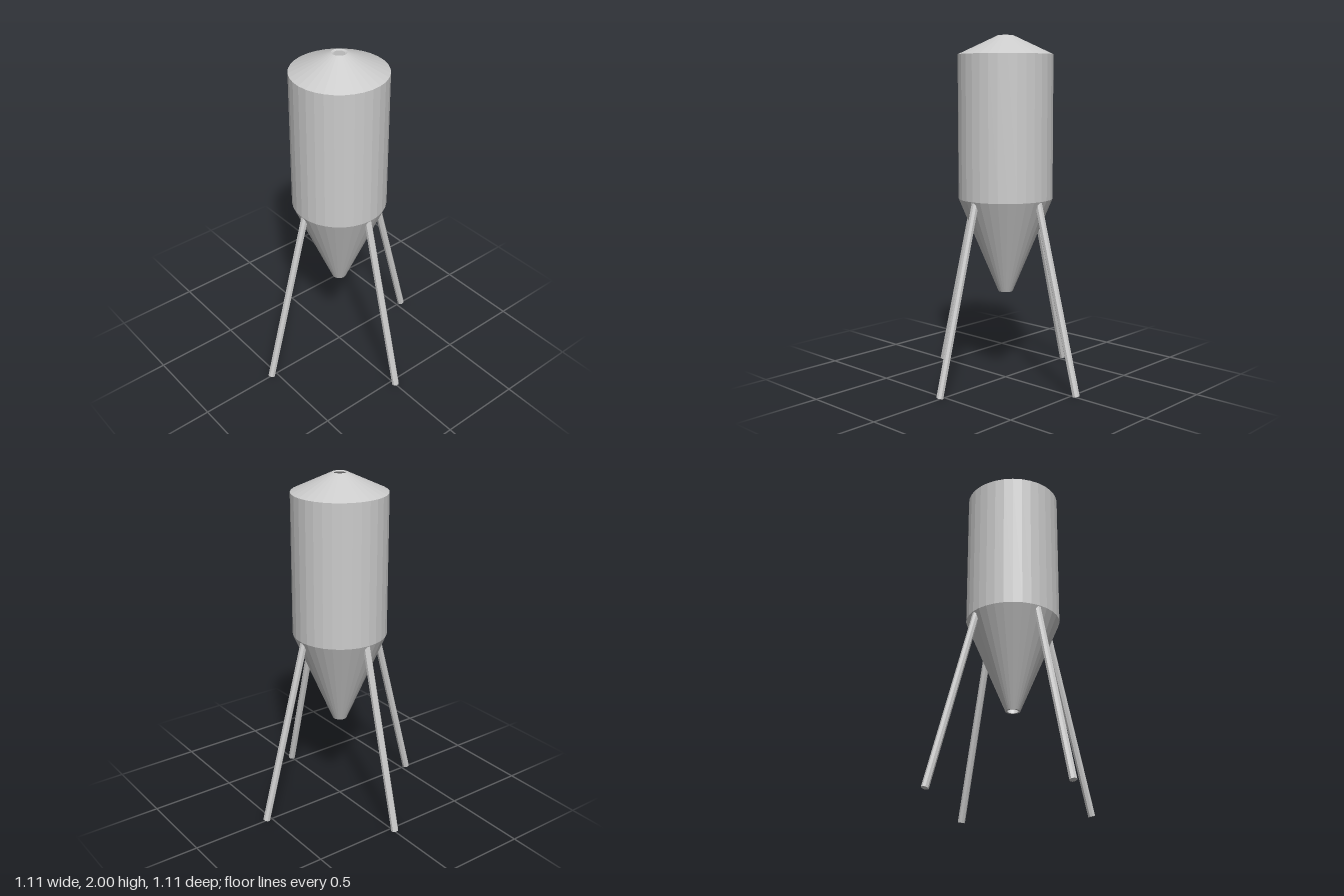
import * as THREE from 'three';

export function createModel() {
  const model = new THREE.Group();
  model.name = 'silo';
  const material = new THREE.MeshStandardMaterial({ color: 0xcccccc, flatShading: true });

  // Hollow tank: hopper, cylinder and conical roof, open at both ends.
  // The closed profile runs up the outside and back down the inside wall.
  const profile = [
    [0.042, 0.525], [0.272, 1.073], [0.272, 1.893], [0.043, 2],
    [0.031, 1.995], [0.262, 1.887], [0.262, 1.075], [0.031, 0.525], [0.042, 0.525],
  ].map(([r, y]) => new THREE.Vector2(r, y));
  const tank = new THREE.Mesh(new THREE.LatheGeometry(profile, 32), material);
  tank.name = 'tank';
  model.add(tank);

  // Four splayed legs with square-cut ends
  const top = new THREE.Vector3(0.25, 1.065, 0);
  const foot = new THREE.Vector3(0.535, 0.0055, 0);
  const axis = top.clone().sub(foot);
  const legGeometry = new THREE.CylinderGeometry(0.021, 0.021, axis.length(), 8);
  legGeometry.rotateY(Math.PI / 8);
  legGeometry.applyQuaternion(
    new THREE.Quaternion().setFromUnitVectors(new THREE.Vector3(0, 1, 0), axis.normalize()));
  legGeometry.translate((top.x + foot.x) / 2, (top.y + foot.y) / 2, 0);

  ['leftLeg', 'backLeg', 'rightLeg', 'frontLeg'].forEach((name, i) => {
    const leg = new THREE.Mesh(legGeometry, material);
    leg.name = name;
    leg.rotation.y = i * Math.PI / 2;
    model.add(leg);
  });

  return model;
}
